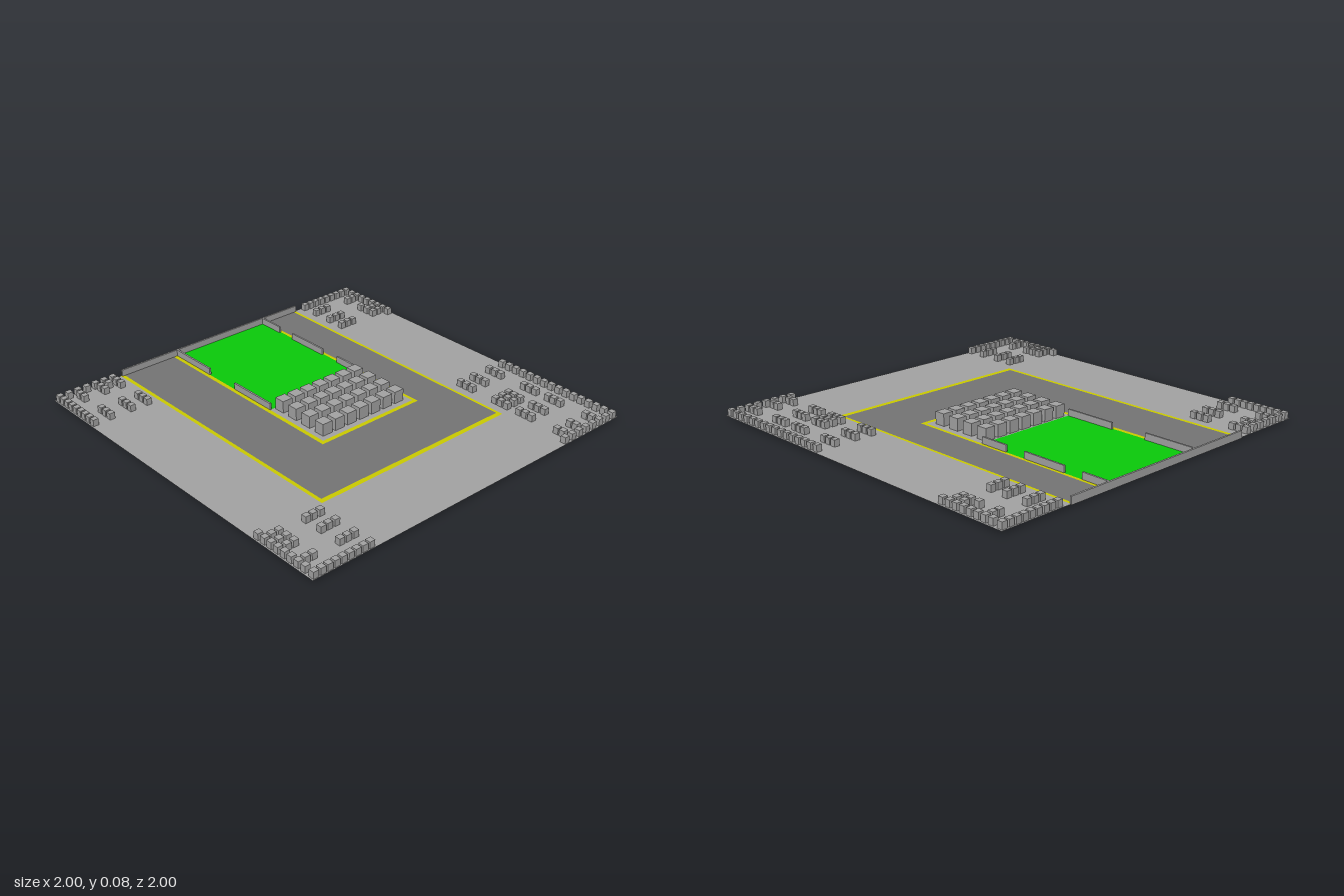
import * as THREE from 'three';
import { mergeGeometries } from 'three/addons/utils/BufferGeometryUtils.js';

const mat = (name, color, side = THREE.FrontSide) => {
  const m = new THREE.MeshStandardMaterial({ color, side });
  m.name = name;
  return m;
};

const GROUND_Y = 0.015;

export function createModel() {
  const root = new THREE.Group();
  root.name = 'cityBlock';

  const concrete = mat('concrete grey', 0xa4a4a4);
  const pavement = mat('pavement grey', 0xa4a4a4, THREE.DoubleSide);
  const asphalt = mat('asphalt grey', 0x757575, THREE.DoubleSide);
  const yellow = mat('kerb yellow', 0xcccc00, THREE.DoubleSide);
  const green = mat('grass green', 0x0acc0a, THREE.DoubleSide);

  // Flat rectangles [x0, x1, z0, z1] merged into one ground part
  const flat = (name, material, rects) => {
    const parts = rects.map(([x0, x1, z0, z1]) =>
      new THREE.PlaneGeometry(x1 - x0, z1 - z0)
        .rotateX(-Math.PI / 2)
        .translate((x0 + x1) / 2, GROUND_Y, (z0 + z1) / 2));
    const mesh = new THREE.Mesh(mergeGeometries(parts), material);
    mesh.name = name;
    root.add(mesh);
  };

  // Boxes [x, z, width, depth] standing between two heights
  const boxes = (name, y0, y1, list) => {
    const parts = list.map(([x, z, w, d]) =>
      new THREE.BoxGeometry(w, y1 - y0, d).translate(x, (y0 + y1) / 2, z));
    const mesh = new THREE.Mesh(mergeGeometries(parts), concrete);
    mesh.name = name;
    root.add(mesh);
  };

  // Ground surfaces, laid edge to edge
  flat('outerPavement', pavement, [
    [-1, -0.6, -1, 1], [0.595, 1, -1, 1], [-0.6, 0.595, 0.6, 1],
  ]);
  flat('outerKerbLine', yellow, [
    [-0.6, -0.58, -1, 0.6], [0.58, 0.595, -1, 0.6], [-0.58, 0.58, 0.573, 0.6],
  ]);
  flat('road', asphalt, [
    [-0.58, -0.265, -1, 0.573], [0.375, 0.58, -1, 0.573], [-0.265, 0.375, 0.225, 0.573],
  ]);
  flat('innerKerbLine', yellow, [
    [-0.265, -0.243, -1, 0.225], [0.358, 0.375, -1, 0.225], [-0.243, 0.358, 0.202, 0.225],
  ]);
  flat('innerPavement', pavement, [[-0.243, 0.358, -0.2, 0.202]]);
  flat('lawn', green, [[-0.243, 0.358, -1, -0.2]]);

  // Evenly spaced values from a to b
  const span = (a, b, n) => Array.from({ length: n }, (_, i) => a + (b - a) * i / (n - 1));
  const grid = (xs, zs, s) => xs.flatMap(x => zs.map(z => [x, z, s, s]));

  // Tall blocks in the centre
  boxes('centralBlocks', 0, 0.08, grid(span(-0.185, 0.295, 7), span(-0.16, 0.14, 4), 0.06));

  // Low houses grouped by corner: each entry is a grid of x and z positions
  const corners = {
    backLeftHouses: [
      [span(0.655, 0.975, 9), [-0.977]],
      [[0.975], span(-0.925, -0.62, 8)],
      [[0.655, 0.695, 0.735], [-0.877, -0.757, -0.66]],
      [[0.895], [-0.877, -0.757, -0.707, -0.66]],
      [[0.932], [-0.877, -0.707, -0.66]],
    ],
    backRightHouses: [
      [span(-0.977, -0.663, 7), [-0.977]],
      [[-0.977], span(-0.937, -0.66, 8)],
      [[-0.882, -0.76, -0.663], [-0.937, -0.897, -0.74, -0.7, -0.66]],
      [[-0.712], [-0.937]],
    ],
    frontLeftHouses: [
      [span(0.615, 0.975, 8), [0.98]],
      [[0.975], span(0.26, 0.932, 15)],
      [[0.655, 0.752, 0.873], [0.26, 0.3, 0.34, 0.5, 0.537, 0.577, 0.66, 0.697, 0.737, 0.9, 0.937]],
      [[0.705], [0.5, 0.537, 0.577]],
    ],
    frontRightHouses: [
      [span(-0.977, -0.663, 9), [0.98]],
      [[-0.977], span(0.62, 0.928, 8)],
      [[-0.937, -0.897], [0.66, 0.71, 0.76, 0.88]],
      [[-0.743, -0.705, -0.663], [0.66, 0.76, 0.88]],
    ],
  };
  for (const [name, grids] of Object.entries(corners)) {
    boxes(name, 0.01, 0.05, grids.flatMap(([xs, zs]) => grid(xs, zs, 0.03)));
  }

  // Back wall and broken walls beside the lawn
  boxes('backWall', 0.01, 0.05, [[0, -0.995, 1.19, 0.01]]);
  const sideWall = (x, runs) => runs.map(([a, b]) => [x, (a + b) / 2, 0.01, b - a]);
  boxes('rightLawnWall', 0.01, 0.05, sideWall(-0.238, [[-0.99, -0.7], [-0.49, -0.2]]));
  boxes('leftLawnWall', 0.01, 0.05,
    sideWall(0.353, [[-0.99, -0.84], [-0.73, -0.48], [-0.36, -0.2]]));

  return root;
}
